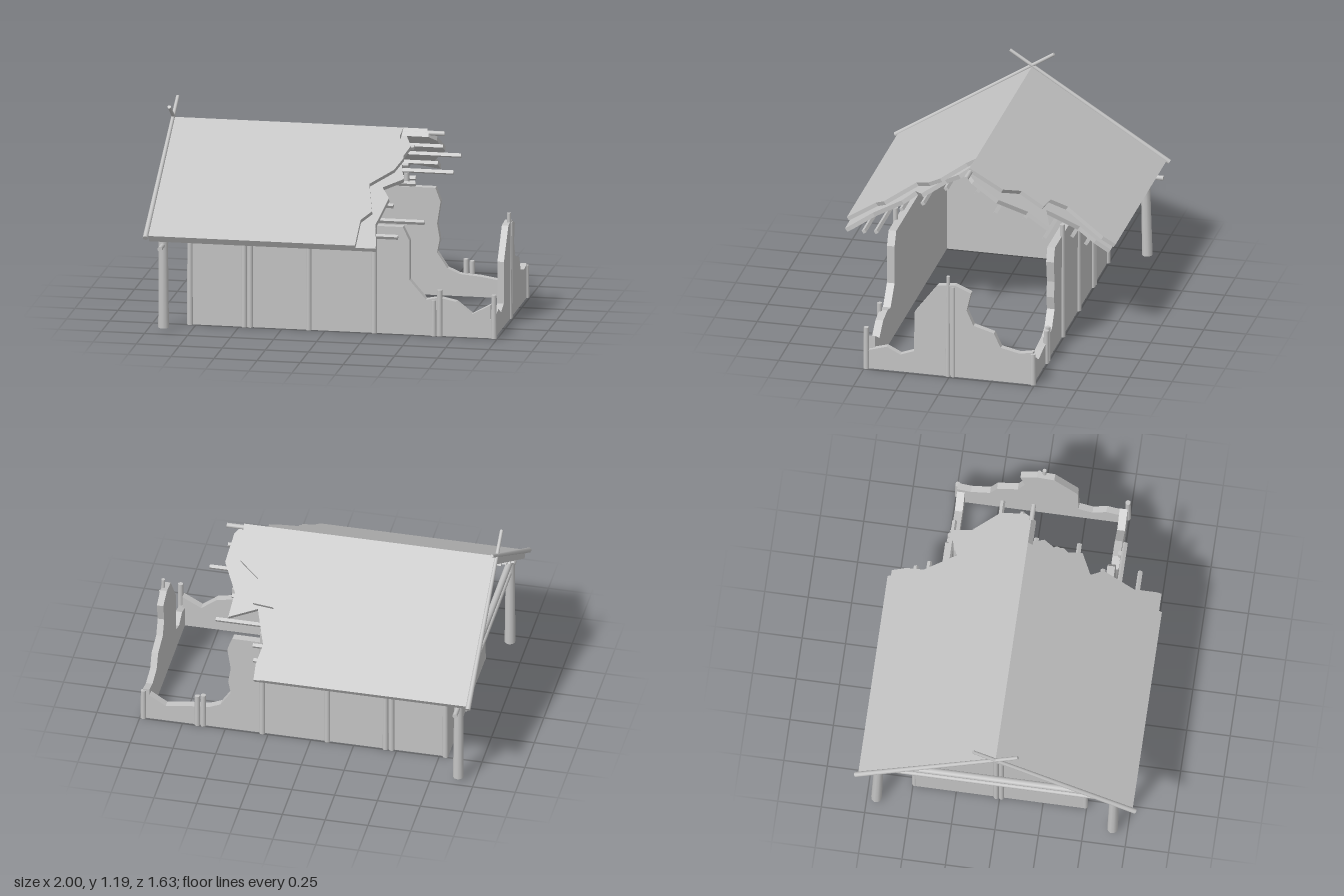
import * as THREE from 'three';

export function createModel() {
  const model = new THREE.Group();
  model.name = 'ruinedLonghouse';
  const grey = new THREE.MeshStandardMaterial({ color: 0xc4c4c4 });
  grey.name = 'weathered grey';

  const add = (name, geometry) => {
    const mesh = new THREE.Mesh(geometry, grey);
    mesh.name = name;
    model.add(mesh);
    return mesh;
  };
  const extrude = (points, depth) => new THREE.ExtrudeGeometry(
    new THREE.Shape(points.map(([x, y]) => new THREE.Vector2(x, y))),
    { depth, bevelEnabled: false });

  // Round pole between two points
  const pole = (name, a, b, r0, r1 = r0) => {
    const from = new THREE.Vector3(...a), to = new THREE.Vector3(...b);
    const dir = to.clone().sub(from);
    const mesh = add(name, new THREE.CylinderGeometry(r1, r0, dir.length(), 10));
    mesh.position.copy(from).add(to).multiplyScalar(0.5);
    mesh.quaternion.setFromUnitVectors(new THREE.Vector3(0, 1, 0), dir.normalize());
  };

  // Long walls, broken down towards the ruined end
  add('frontWall', extrude([
    [-0.8, 0], [0.96, 0], [0.96, 0.195], [0.85, 0.135], [0.76, 0.205], [0.66, 0.225],
    [0.585, 0.21], [0.49, 0.32], [0.49, 0.55], [0.45, 0.63], [-0.8, 0.63]], 0.045)).position.z = 0.445;
  add('backWall', extrude([
    [-0.8, 0], [0.96, 0], [0.96, 0.17], [0.85, 0.1], [0.72, 0.12], [0.6, 0.13], [0.53, 0.16],
    [0.47, 0.25], [0.485, 0.33], [0.47, 0.42], [0.49, 0.55], [0.46, 0.63], [-0.8, 0.63]], 0.045)).position.z = -0.49;

  // End walls: shape x runs along -z
  const endWall = (name, points, x, depth) => {
    const mesh = add(name, extrude(points, depth));
    mesh.rotation.y = Math.PI / 2;
    mesh.position.x = x;
  };
  endWall('ruinedEndWall', [
    [-0.49, 0], [0.49, 0], [0.49, 0.2], [0.41, 0.185], [0.3, 0.21], [0.26, 0.295], [0.14, 0.33],
    [0.1, 0.42], [0.125, 0.53], [0.03, 0.57], [-0.07, 0.56], [-0.205, 0.38], [-0.21, 0.135],
    [-0.29, 0.105], [-0.37, 0.145], [-0.49, 0.11]], 0.945, 0.038);
  endWall('intactEndWall', [[-0.49, 0], [0.49, 0], [0.49, 0.63], [-0.49, 0.63]], -0.8, 0.045);
  endWall('gable', [[-0.68, 0.61], [0.68, 0.61], [0, 1.045]], -0.79, 0.025);

  // Wall posts on both long sides, given as [x, height]
  for (const side of [1, -1]) {
    for (const [x, h] of [[-0.785, 0.73], [-0.47, 0.7], [-0.435, 0.7], [-0.095, 0.7], [0.285, 0.7],
      [0.63, 0.21], [0.665, side > 0 ? 0.27 : 0.2], [0.98, side > 0 ? 0.255 : 0.19]]) {
      pole('wallPost', [x, 0, side * 0.49], [x, h, side * 0.49], 0.017, 0.015);
    }
  }
  // Paired posts in the middle of each end
  pole('endPost', [0.98, 0, 0.01], [0.975, 0.62, 0.01], 0.015, 0.011);
  pole('endPost', [0.98, 0, -0.02], [0.98, 0.56, -0.02], 0.013);
  for (const z of [0.01, -0.02]) pole('gablePost', [-0.8, 0, z], [-0.8, 1.04, z], 0.015);

  // Porch posts and tie beams
  pole('porchPost', [-0.905, 0.02, 0.665], [-0.905, 0.61, 0.675], 0.031, 0.026);
  pole('porchPost', [-0.905, 0.02, -0.695], [-0.905, 0.61, -0.68], 0.031, 0.026);
  pole('tieBeam', [-0.905, 0.58, 0.7], [-0.905, 0.58, -0.7], 0.019);
  pole('tieBeam', [-0.905, 0.507, 0.78], [-0.905, 0.507, -0.79], 0.014);

  // Roof layers: points are [x, horizontal distance from the ridge]
  const angle = Math.atan(0.64), c = Math.cos(angle), s = Math.sin(angle);
  const roofLayer = (name, side, edge, eave, top, thickness) => {
    const points = [[-0.97, 0], ...edge, [-0.97, eave]].map(([x, d]) => [x, d / c]);
    const g = extrude(points, thickness);
    g.translate(0, 0, side > 0 ? top : -top - thickness);
    g.applyMatrix4(new THREE.Matrix4().makeBasis(
      new THREE.Vector3(1, 0, 0),
      new THREE.Vector3(0, -s, side * c),
      new THREE.Vector3(0, -side * c, -s)));
    add(name, g).position.y = 1.09;
  };
  roofLayer('frontThatch', 1, [[0.36, 0], [0.35, 0.06], [0.4, 0.2], [0.36, 0.28], [0.235, 0.38],
    [0.285, 0.56], [0.23, 0.62], [0.23, 0.79]], 0.79, 0, 0.024);
  roofLayer('frontUnderlayer', 1, [[0.37, 0.01], [0.42, 0.1], [0.38, 0.19], [0.42, 0.32], [0.31, 0.38],
    [0.36, 0.45], [0.315, 0.63], [0.345, 0.76], [0.345, 0.785]], 0.785, 0.024, 0.026);
  roofLayer('backThatch', -1, [[0.5, 0], [0.48, 0.19], [0.36, 0.27], [0.36, 0.4], [0.24, 0.41],
    [0.19, 0.5], [0.24, 0.72], [0.23, 0.79]], 0.79, 0, 0.024);
  roofLayer('backUnderlayer', -1, [[0.51, 0], [0.55, 0.05], [0.57, 0.2], [0.48, 0.35], [0.49, 0.48],
    [0.33, 0.42], [0.26, 0.6], [0.28, 0.7], [0.275, 0.785]], 0.785, 0.024, 0.026);

  // Purlins sticking out of the broken roof, as [z, end x]
  for (const [z, end] of [[0.04, 0.43], [0.16, 0.42], [0.28, 0.485], [0.43, 0.385], [0.53, 0.585], [0.635, 0.45],
    [-0.06, 0.58], [-0.185, 0.66], [-0.32, 0.5], [-0.45, 0.565], [-0.56, 0.325], [-0.635, 0.305]]) {
    const bar = add('purlin', new THREE.BoxGeometry(end + 0.94, 0.02, 0.02));
    bar.position.set((end - 0.94) / 2, 1.012 - 0.64 * Math.abs(z), z);
    bar.rotation.x = Math.sign(z) * angle;
  }
  pole('ridgePole', [-0.95, 1.065, 0], [0.6, 1.065, 0], 0.014);

  // Crossed barge poles over the gable
  for (const side of [1, -1]) {
    pole('bargePole', [-0.985, 0.575, side * 0.805], [-0.975, 1.18, side * -0.13], 0.015, 0.01);
  }
  return model;
}
